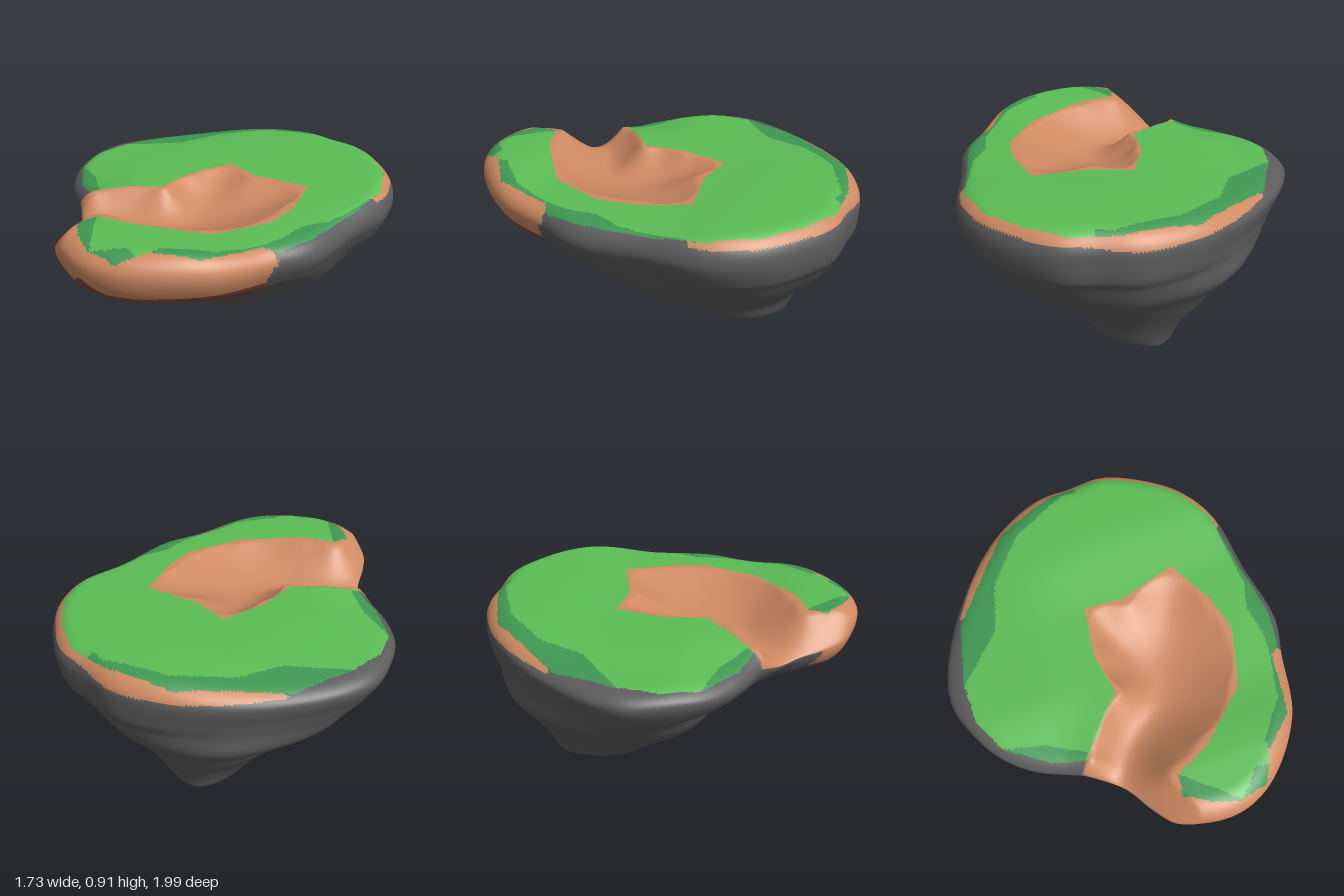
import * as THREE from 'three';

const mat = (name, color) => {
  const m = new THREE.MeshStandardMaterial({ color });
  m.name = name;
  return m;
};

// Rim seen from above, clockwise from the back
const RIM = [[-0.07, -0.985], [0.12, -0.99], [0.3, -0.995], [0.46, -0.93], [0.68, -0.76], [0.8, -0.54], [0.83, -0.2],
  [0.86, 0.12], [0.8, 0.33], [0.7, 0.65], [0.45, 0.92], [0.23, 0.995], [-0.03, 0.93], [-0.12, 0.82], [-0.21, 0.66],
  [-0.35, 0.55], [-0.6, 0.42], [-0.75, 0.27], [-0.865, -0.02], [-0.84, -0.2], [-0.7, -0.48], [-0.5, -0.73], [-0.3, -0.89]];

// Edge of the bare hollow in the grass, and the same carried out past the rim
const PATH = [[0.04, 0.73], [0.22, 0.65], [0.5, 0.42], [0.6, 0.12], [0.57, -0.06], [0.45, -0.32],
  [0.15, -0.24], [-0.06, -0.26], [-0.11, 0], [-0.08, 0.22], [-0.34, 0.49]];
const HOLLOW = [...PATH, [-0.65, 0.83], [-0.6, 1.6], [0.12, 1.4]];

// Whole grass area, and the lighter area inside it
const GRASS = [[-0.77, -0.1], [-0.69, -0.42], [-0.5, -0.63], [-0.32, -0.83], [0, -0.94], [0.27, -0.95], [0.45, -0.87],
  [0.64, -0.73], [0.76, -0.52], [0.79, -0.2], [0.82, 0.1], [0.79, 0.28], [0.73, 0.33], [0.68, 0.57], [0.66, 0.64],
  [0.48, 0.79], [0.46, 0.86], [0.42, 0.92], [0.27, 0.95], [0.14, 0.91], [0.02, 0.83], ...PATH,
  [-0.5, 0.43], [-0.7, 0.28], [-0.78, 0.1]];
const LIGHT = [[-0.77, -0.1], [-0.53, -0.32], [-0.45, -0.56], [-0.25, -0.78], [0, -0.89], [0.05, -0.92], [0.13, -0.91],
  [0.15, -0.95], [0.27, -0.95], [0.45, -0.87], [0.64, -0.73], [0.76, -0.52], [0.77, -0.1], [0.72, 0.05], [0.74, 0.2],
  [0.72, 0.33], [0.65, 0.55], [0.5, 0.72], [0.47, 0.84], [0.4, 0.83], [0.28, 0.95], [0.15, 0.83], ...PATH,
  [-0.32, 0.45], [-0.5, 0.34], [-0.7, 0.28], [-0.78, 0.1]];

// Slices of the rock: y, min x, max x, min z, max z (first and last only steer the curve)
const SLICES = [[0.87, -0.82, 0.82, -0.99, 0.94], [0.77, -0.865, 0.865, -1, 1], [0.67, -0.82, 0.82, -0.99, 0.94],
  [0.6, -0.77, 0.77, -0.95, 0.77], [0.5, -0.69, 0.69, -0.9, 0.53], [0.4, -0.54, 0.59, -0.82, 0.38],
  [0.3, -0.45, 0.45, -0.74, 0.27], [0.2, -0.36, 0.3, -0.68, 0.15], [0.1, -0.29, 0.21, -0.64, -0.03],
  [0.04, -0.25, 0.04, -0.61, -0.15], [0.005, -0.18, -0.07, -0.56, -0.4], [0, -0.12, -0.12, -0.48, -0.48],
  [0, -0.12, -0.12, -0.48, -0.48]];

const inside = (poly, x, z) => {
  let hit = false;
  for (let i = 0, j = poly.length - 1; i < poly.length; j = i++) {
    const [ax, az] = poly[i], [bx, bz] = poly[j];
    if ((az > z) !== (bz > z) && x < (bx - ax) * (z - az) / (bz - az) + ax) hit = !hit;
  }
  return hit;
};
const { smoothstep: smooth, lerp, clamp } = THREE.MathUtils;
const spline = (a, b, c, d, t) =>
  b + 0.5 * t * (c - a + t * (2 * a - 5 * b + 4 * c - d + t * (3 * (b - c) + d - a)));

// Depth of the hollow: a bowl that deepens toward the notch, steeper on its left wall
function hollow(x, z) {
  if (!inside(HOLLOW, x, z)) return 0;
  let sum = 0;
  HOLLOW.forEach(([ax, az], i) => {
    const [bx, bz] = HOLLOW[(i + 1) % HOLLOW.length], dx = bx - ax, dz = bz - az;
    const t = clamp(((x - ax) * dx + (z - az) * dz) / (dx * dx + dz * dz), 0, 1);
    const steep = ax < 0 && bx < 0 ? 1.5 : 1;
    sum += Math.exp(-16 * steep * Math.hypot(x - ax - t * dx, z - az - t * dz));
  });
  const near = clamp(-Math.log(sum) / 16 / 0.36, 0, 1);
  const inward = (x - z + 0.9) * 0.707;
  return (0.12 + 0.06 * (1 - smooth(inward, 0, 0.9))) * Math.sin(near * Math.PI / 2);
}
// Gently rolling top, sinking toward the front right corner beside the notch
const sink = (x, z) => 0.04 * smooth(z, 0.1, 0.5) * smooth(-x, 0.15, 0.45);
const topHeight = (x, z) => 0.872 + 0.035 * smooth(-z, 0.2, 0.65) * smooth(x, -0.7, 0.1)
  + 0.04 * smooth(z, 0.35, 0.75) * smooth(x, -0.2, 0.1) - 0.035 * smooth(-x, 0.25, 0.8)
  - 0.01 * smooth(x, 0.6, 0.85) - sink(x, z);
const rimHeight = (x, z) => 0.77 + 0.05 * Math.max(0, z) + 0.02 * Math.max(0, -z) - sink(x, z);

// Which part a face belongs to
function partAt(onTop, x, y, z) {
  if (onTop) {
    if (inside(LIGHT, x, z)) return 'grassTop';
    if (inside(GRASS, x, z)) return 'darkGrassEdge';
    if (inside(HOLLOW, x, z) || (z > 0.3 && x > 0)) return 'earth';
    if (z < -0.45 && x > -0.69 && y > 0.82 + 0.035 * smooth(x, -0.1, 0.3)) return 'earth';
    return 'rockBase';
  }
  if (z > 0.33 && x > -0.12) {
    const split = x < 0.12 ? 0.67 : 0.695 + 0.065 * Math.max(0, 1 - Math.abs(x - 0.24) / 0.1);
    if (y > split) return 'earth';
    if (x > 0.12 && y > 0.565 + 0.04 * smooth(x, 0.5, 0.7) + 0.07 * smooth(x, 0.68, 0.78)
      + 0.055 * smooth(-x, -0.3, -0.12)) return 'darkEarth';
  }
  return 'rockBase';
}

export function createModel() {
  const N = 300, TOP = 74, ROUND = 14, INNER = 0.88, CX = 0.1;
  const curve = new THREE.CatmullRomCurve3(RIM.map(([x, z]) => new THREE.Vector3(x, 0, z)), true);
  const rim = curve.getSpacedPoints(N).slice(0, N);
  const rows = [];

  // Top rings from the middle to the rim, rounded off at the edge
  for (let i = 0; i <= TOP + ROUND; i++) {
    const a = Math.max(0, (i - TOP) / ROUND) * Math.PI / 2;
    const s = i <= TOP ? INNER * i / TOP : INNER + (1 - INNER) * Math.sin(a);
    rows.push(rim.map((r) => {
      const x = CX + (r.x - CX) * s, z = r.z * s;
      const y = lerp(rimHeight(x, z), topHeight(x, z), Math.cos(a));
      return [x, y - hollow(x, z) * lerp(0.55, 1, Math.cos(a)), z];
    }));
  }
  const topRows = rows.length - 1;

  // Rock rings down to the tip, turning from rim shape to a rounded shape fuller at the back right
  for (let k = 1; k < SLICES.length - 2; k++) {
    const steps = k < 3 ? 14 : 4;
    for (let m = 1; m <= steps; m++) {
      const f = m / steps;
      const [y, x0, x1, z0, z1] = SLICES[k].map((v, i) =>
        spline(SLICES[k - 1][i], v, SLICES[k + 1][i], SLICES[k + 2][i], f));
      const depth = 1 - y / 0.77, turn = smooth(depth, 0.08, 0.72);
      rows.push(rim.map((r) => {
        const u = r.x / 0.865, v = r.z, len = Math.hypot(u, v);
        const corner = Math.max(0, (-u - v) / len * 0.707) ** 4;
        const lump = 1 + 0.012 * Math.sin(Math.PI * depth) * Math.sin(7 * u + 3 * y) * Math.cos(6 * v - 2 * y);
        const t = lerp(1, (1 + 0.14 * corner) / len, turn) * lump;
        const lift = k === 1 ? (rimHeight(r.x, r.z) - 0.77 - 0.55 * hollow(r.x, r.z)) * (1 - f) : 0;
        return [(x0 + x1) / 2 + (x1 - x0) / 2 * u * t, y + lift, (z0 + z1) / 2 + (z1 - z0) / 2 * v * t];
      }));
    }
  }

  const materials = {
    grassTop: mat('grass green', 0x5bbd55),
    darkGrassEdge: mat('dark grass green', 0x3f9852),
    earth: mat('earth brown', 0xcf8a62),
    darkEarth: mat('dark earth brown', 0x7e4638),
    rockBase: mat('rock grey', 0x5c5c5c),
  };
  const faces = Object.fromEntries(Object.keys(materials).map((k) => [k, []]));
  const points = rows.flat();
  const addFace = (row, a, b, c) => {
    const [x, y, z] = [0, 1, 2].map((i) => (points[a][i] + points[b][i] + points[c][i]) / 3);
    faces[partAt(row < topRows, x, y, z)].push(a, b, c);
  };
  for (let i = 0; i < rows.length - 1; i++) {
    for (let j = 0; j < N; j++) {
      const a = i * N + j, b = i * N + (j + 1) % N;
      if (i > 0) addFace(i, a, b, a + N);
      if (i < rows.length - 2) addFace(i, b, b + N, a + N);
    }
  }

  // Shared smooth normals keep the seams between parts invisible
  const whole = new THREE.BufferGeometry();
  whole.setAttribute('position', new THREE.Float32BufferAttribute(points.flat(), 3));
  whole.setIndex(Object.values(faces).flat());
  whole.computeVertexNormals();

  const island = new THREE.Group();
  island.name = 'floatingIsland';
  for (const [name, index] of Object.entries(faces)) {
    const geo = new THREE.BufferGeometry();
    geo.setAttribute('position', whole.attributes.position);
    geo.setAttribute('normal', whole.attributes.normal);
    geo.setIndex(index);
    const mesh = new THREE.Mesh(geo, materials[name]);
    mesh.name = name;
    island.add(mesh);
  }
  return island;
}
